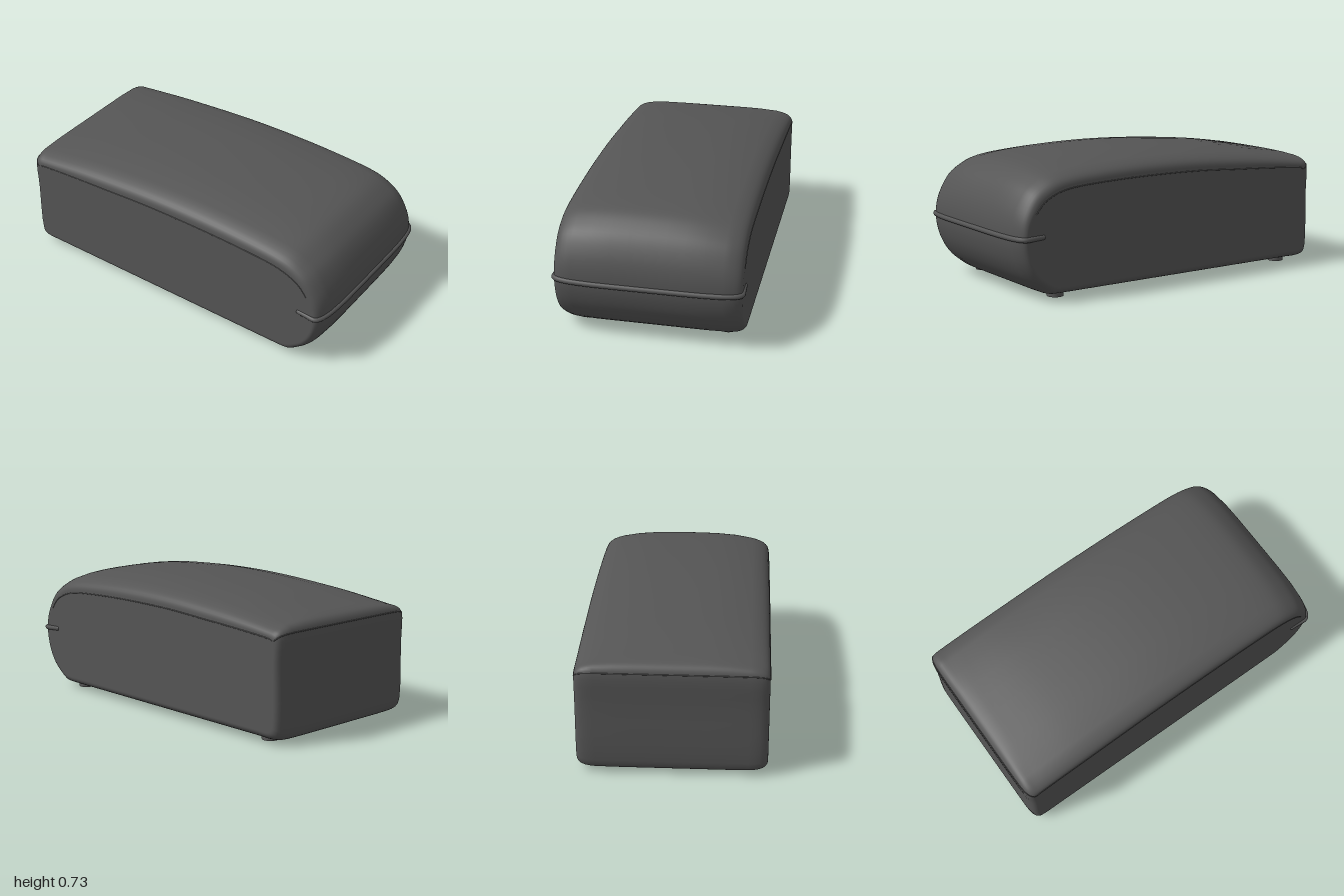
import * as THREE from 'three';

// Side profile, front bottom -> over the top -> back bottom.
// Each row: centre z, centre y, side panel z, side panel y, corner tightness.
const PROFILE = [
  [0.72, 0.02, 0.70, 0.07, 12], [0.78, 0.025, 0.75, 0.075, 12],
  [0.84, 0.06, 0.80, 0.10, 8], [0.90, 0.11, 0.855, 0.145, 6],
  [0.95, 0.19, 0.895, 0.21, 5], [0.975, 0.27, 0.915, 0.28, 5],
  [0.982, 0.34, 0.92, 0.34, 5], [0.975, 0.42, 0.905, 0.41, 5],
  [0.95, 0.50, 0.875, 0.465, 4.5], [0.90, 0.585, 0.83, 0.52, 4],
  [0.84, 0.64, 0.77, 0.555, 3], [0.78, 0.675, 0.71, 0.575, 2.6],
  [0.70, 0.695, 0.64, 0.587, 2.5], [0.55, 0.712, 0.50, 0.597, 2.5],
  [0.30, 0.727, 0.28, 0.605, 2.5], [0.05, 0.73, 0.04, 0.607, 2.5],
  [-0.20, 0.722, -0.20, 0.603, 2.5], [-0.45, 0.705, -0.44, 0.59, 2.5],
  [-0.65, 0.685, -0.63, 0.58, 2.6], [-0.85, 0.655, -0.83, 0.567, 3],
  [-0.94, 0.638, -0.91, 0.56, 4], [-0.98, 0.62, -0.94, 0.555, 8],
  [-1, 0.585, -0.955, 0.545, 14], [-1, 0.40, -0.955, 0.40, 16],
  [-1, 0.08, -0.955, 0.10, 16], [-0.985, 0.035, -0.945, 0.08, 14],
  [-0.94, 0.02, -0.92, 0.07, 12], [-0.86, 0.02, -0.85, 0.07, 12],
];
const SUB = 4;
const ROWS = (PROFILE.length - 1) * SUB + 1;
const HALF = 0.5;
const OPENING = 0.4;

const centreCurve = new THREE.CatmullRomCurve3(PROFILE.map(p => new THREE.Vector3(p[0], p[1], p[4] / 1000)));
const sideCurve = new THREE.CatmullRomCurve3(PROFILE.map(p => new THREE.Vector3(p[2], p[3], 0)));

// Point on the cushion skin at profile row j and width x
function skinPoint(j, x) {
  const c = centreCurve.getPoint(j / (ROWS - 1));
  const s = sideCurve.getPoint(j / (ROWS - 1));
  const n = c.z * 1000;
  const f = Math.pow(Math.max(0, 1 - Math.pow(Math.abs(x) / HALF, n)), 1 / (2 + 2.5 / n));
  return new THREE.Vector3(x, s.y + (c.y - s.y) * f, s.x + (c.x - s.x) * f);
}

const halfX = [0.1, 0.2, 0.3, OPENING, 0.43, 0.455, 0.472, 0.484, 0.492, 0.497, 0.4993, HALF];
const XS = [...halfX.map(x => -x).reverse(), 0, ...halfX];

// Upholstered shell, with an open underside framed by a rim
function bodyGeometry() {
  const pos = [], index = [];
  for (const x of XS) for (let j = 0; j < ROWS; j++) pos.push(...skinPoint(j, x).toArray());
  for (let i = 0; i < XS.length - 1; i++) {
    const inside = Math.abs(XS[i] + XS[i + 1]) / 2 < OPENING;
    for (let j = 0; j < ROWS; j++) {
      if (j === ROWS - 1 && inside) continue;
      const k = (j + 1) % ROWS;
      const a = i * ROWS + j, b = a + ROWS, c = i * ROWS + k, d = c + ROWS;
      index.push(a, b, c, b, d, c);
    }
  }
  // Flat side panels
  for (const side of [-1, 1]) {
    const hub = pos.length / 3;
    const base = side > 0 ? (XS.length - 1) * ROWS : 0;
    pos.push(side * HALF, 0.3, 0);
    for (let j = 0; j < ROWS; j++) {
      const a = base + j, b = base + (j + 1) % ROWS;
      if (side > 0) index.push(hub, b, a); else index.push(hub, a, b);
    }
  }
  const g = new THREE.BufferGeometry();
  g.setAttribute('position', new THREE.Float32BufferAttribute(pos, 3));
  g.setIndex(index);
  g.computeVertexNormals();
  return g;
}

function cord(points, radius, segments) {
  return new THREE.TubeGeometry(new THREE.CatmullRomCurve3(points), segments, radius, 10);
}

export function createModel() {
  const group = new THREE.Group();
  const fabric = new THREE.MeshStandardMaterial({ color: 0x555555, side: THREE.DoubleSide });
  fabric.name = 'charcoalFabric';
  const add = (name, geometry) => {
    const mesh = new THREE.Mesh(geometry, fabric);
    mesh.name = name;
    group.add(mesh);
    return mesh;
  };

  add('cushionBody', bodyGeometry());

  // Piping around the front, with its tails on the side panels
  const front = XS.filter(x => Math.abs(x) < 0.4995).map(x => skinPoint(6 * SUB, x));
  const tail = s => [new THREE.Vector3(s * 0.495, 0.345, 0.835), new THREE.Vector3(s * 0.497, 0.343, 0.88)];
  add('frontPiping', cord([...tail(-1), ...front, ...tail(1).reverse()], 0.014, 120));
  for (const s of [-1, 1]) {
    const end = add('pipingEnd', new THREE.SphereGeometry(0.014, 12, 8));
    end.position.copy(tail(s)[0]);
  }

  // Fine seam along the upper side edges and across the back
  const edge = s => {
    const points = [];
    for (let j = 8 * SUB; j <= 22 * SUB; j += 2) points.push(skinPoint(j, s * HALF));
    return points;
  };
  const back = XS.filter(x => Math.abs(x) < HALF).map(x => skinPoint(22 * SUB, x));
  add('topSeam', cord([...edge(-1), ...back, ...edge(1).reverse()], 0.003, 260));

  // Feet
  for (const x of [-0.39, 0.39]) for (const z of [0.7, -0.84]) {
    const foot = add('foot', new THREE.CylinderGeometry(0.045, 0.045, 0.03, 24));
    foot.position.set(x, 0.015, z);
  }
  return group;
}
